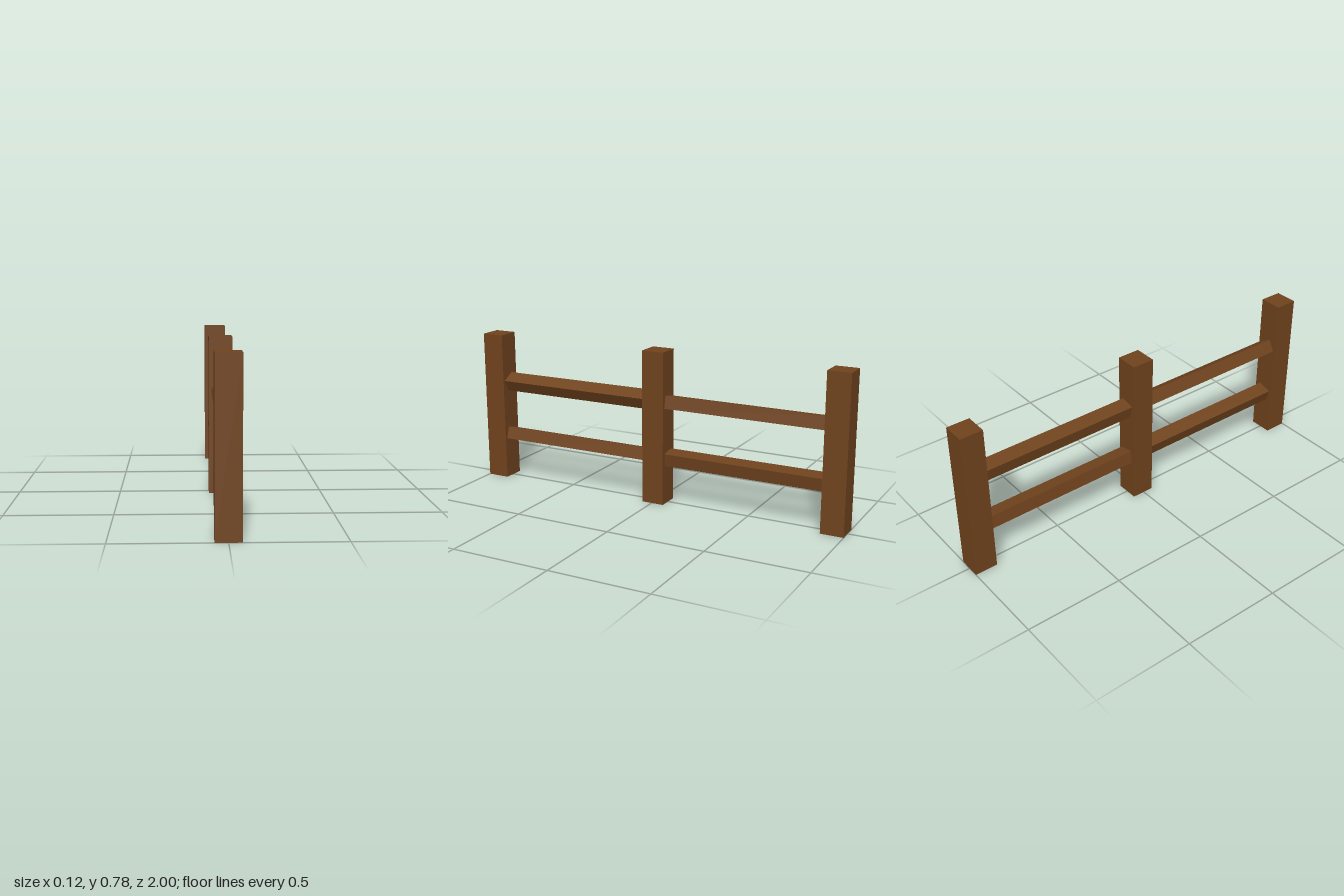
import * as THREE from 'three';

const POST = 0.115, HEIGHT = 0.776;
const POST_Z = [0.9425, -0.005, -0.9425]; // front, middle, back

export function createModel() {
  const group = new THREE.Group();
  group.name = 'fence';
  const wood = new THREE.MeshStandardMaterial({ color: 0x70431d, flatShading: true });

  const beam = (name, w, h, d, x, y, z, roll = 0) => {
    const mesh = new THREE.Mesh(new THREE.BoxGeometry(w, h, d), wood);
    mesh.name = name;
    mesh.position.set(x, y, z);
    mesh.rotation.z = THREE.MathUtils.degToRad(roll);
    group.add(mesh);
  };

  // Upright posts
  ['frontPost', 'middlePost', 'backPost'].forEach((name, i) =>
    beam(name, POST, HEIGHT, POST, 0, HEIGHT / 2, POST_Z[i]));

  // Rails, each rolled by its own angle and let slightly into the posts
  const rails = [
    ['frontUpperRail', 0, 0.52, -29],
    ['frontLowerRail', 0, 0.235, 17],
    ['backUpperRail', 1, 0.519, 12],
    ['backLowerRail', 1, 0.235, -9],
  ];
  for (const [name, bay, y, roll] of rails) {
    const z0 = POST_Z[bay], z1 = POST_Z[bay + 1];
    beam(name, 0.074, 0.065, z0 - z1 - POST + 0.02, 0, y, (z0 + z1) / 2, roll);
  }
  return group;
}
